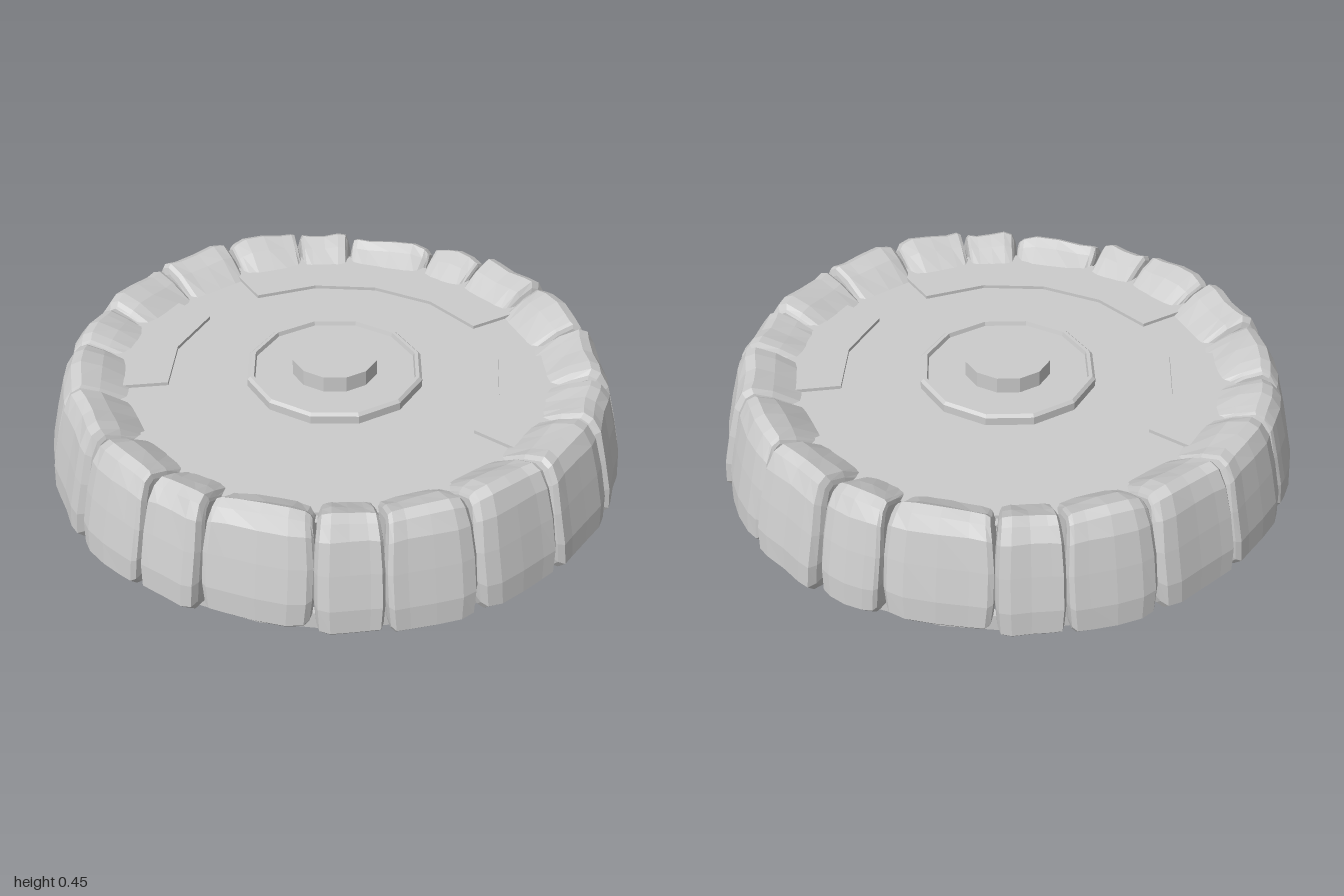
import * as THREE from 'three';

const mat = new THREE.MeshStandardMaterial({ color: 0xcccccc, flatShading: true, side: THREE.DoubleSide });
const rad = THREE.MathUtils.degToRad;

// Radial section of a rim stone (radius, height), counter-clockwise
const SECTION = [
  [0.77, 0.06], [0.8, 0.03], [0.88, 0.015], [0.955, 0.025], [0.985, 0.055], [0.98, 0.14], [0.954, 0.26],
  [0.926, 0.37], [0.895, 0.42], [0.86, 0.435], [0.8, 0.412], [0.71, 0.362], [0.77, 0.345],
];

// Position across the stone and how much the section shrinks there
const ACROSS = [
  [-1, 0.62], [-0.96, 0.8], [-0.86, 0.94], [-0.55, 0.99], [0, 1], [0.55, 0.99], [0.86, 0.94], [0.96, 0.8], [1, 0.62],
];

// Worn stone block between two angles, lofted along its tangent
function stoneGeometry(from, to, reach, rise, seed) {
  const mid = rad((from + to) / 2), spread = Math.tan(rad((to - from) / 2));
  const out = new THREE.Vector3(Math.sin(mid), 0, Math.cos(mid));
  const side = new THREE.Vector3(Math.cos(mid), 0, -Math.sin(mid));
  const pos = [], idx = [], n = SECTION.length, m = ACROSS.length;
  ACROSS.forEach(([u, s], i) => {
    const wear = 0.005 * Math.sin(seed * 2.3 + i * 1.7);
    SECTION.forEach(([r, y], j) => {
      let rr = 0.84 + (r - 0.84) * (r > 0.84 ? s : 0.6 + 0.4 * s);
      let yy = 0.22 + (y - 0.22) * (0.6 + 0.4 * s);
      if (r > 0.84) rr = rr * reach + wear;
      if (y > 0.4) yy += rise + wear;
      // Barrel outline: widest at mid height
      const barrel = 1.03 - 2.2 * (y - 0.23) ** 2;
      const p = out.clone().multiplyScalar(rr).addScaledVector(side, u * spread * rr * barrel);
      pos.push(p.x, yy, p.z);
    });
  });
  for (let i = 0; i < m - 1; i++) {
    for (let j = 0; j < n; j++) {
      const k = (j + 1) % n, a = i * n, b = a + n;
      idx.push(a + j, b + j, a + k, b + j, b + k, a + k);
    }
  }
  // End caps fan out from the middle of the section
  for (const i of [0, m - 1]) {
    const c = pos.length / 3;
    const p = out.clone().multiplyScalar(0.86).addScaledVector(side, ACROSS[i][0] * spread * 0.86);
    pos.push(p.x, 0.22, p.z);
    for (let j = 0; j < n; j++) {
      const a = i * n + j, b = i * n + (j + 1) % n;
      if (i === 0) idx.push(c, a, b); else idx.push(c, b, a);
    }
  }
  const g = new THREE.BufferGeometry();
  g.setAttribute('position', new THREE.Float32BufferAttribute(pos, 3));
  g.setIndex(idx);
  return g;
}

// Raised floor panel covering part of a ring
function panelGeometry(center, half) {
  const shape = new THREE.Shape(), steps = half / 22.5 * 2;
  const at = (r, i) => {
    const a = rad(center - half + 2 * half * i / steps);
    return new THREE.Vector2(r * Math.sin(a), -r * Math.cos(a));
  };
  const pts = [];
  for (let i = 0; i <= steps; i++) pts.push(at(0.578, i));
  for (let i = steps; i >= 0; i--) pts.push(at(0.8, i));
  shape.setFromPoints(pts);
  const g = new THREE.ExtrudeGeometry(shape, { depth: 0.022, bevelEnabled: false });
  return g.rotateX(-Math.PI / 2).translate(0, 0.35, 0);
}

function lathe(points, sides) {
  return new THREE.LatheGeometry(points.map(([x, y]) => new THREE.Vector2(x, y)), sides);
}

export function createModel() {
  const model = new THREE.Group();
  const add = (name, geometry, parent = model) => {
    const mesh = new THREE.Mesh(geometry, mat);
    mesh.name = name;
    parent.add(mesh);
    return mesh;
  };

  // Thin floor, open beneath the collar
  add('floor', lathe([[0.3, 0.355], [0.82, 0.355], [0.82, 0.36], [0.3, 0.36]], 24));

  // Raised panels: wide at front and back, narrow at the sides
  [['frontPanel', 0, 45], ['backPanel', 180, 45], ['leftPanel', 90, 22.5], ['rightPanel', 270, 22.5]]
    .forEach(([name, center, half]) => add(name, panelGeometry(center, half)));

  // Central plinth with a raised lip, and the hub on it
  add('collar', lathe([[0, 0.375], [0.3, 0.375], [0.3, 0.355], [0.31, 0.355], [0.31, 0.388], [0.3, 0.398],
    [0.287, 0.398], [0.283, 0.383], [0, 0.383]], 12));
  add('hub', new THREE.CylinderGeometry(0.15, 0.15, 0.06, 12).translate(0, 0.41, 0));

  // Thin band the stones stand on
  add('baseRing', lathe([[0.875, 0], [0.905, 0], [0.905, 0.06], [0.875, 0.06], [0.875, 0]], 24));

  // Stones: from, to (degrees from the front), reach, rise; mirrored into the other quadrants
  const stones = new THREE.Group();
  stones.name = 'stoneRim';
  model.add(stones);
  const quarter = [
    [11.2, 24.7, 0.995, -0.005], [24.7, 42.7, 1.008, 0.005], [42.7, 62, 1.005, 0.008], [62, 82, 1.008, 0],
  ];
  const all = [
    [-11.2, 11.2, 0.968, -0.008], [168.8, 191.2, 0.968, -0.008],
    [82, 98, 1.013, -0.012], [262, 278, 1.013, -0.012],
  ];
  for (const [a, b, reach, rise] of quarter) {
    all.push([a, b, reach, rise], [-b, -a, reach, rise], [180 - b, 180 - a, reach, rise], [180 + a, 180 + b, reach, rise]);
  }
  all.forEach(([a, b, reach, rise], i) => add('rimStone', stoneGeometry(a, b, reach, rise, i), stones));

  return model;
}
